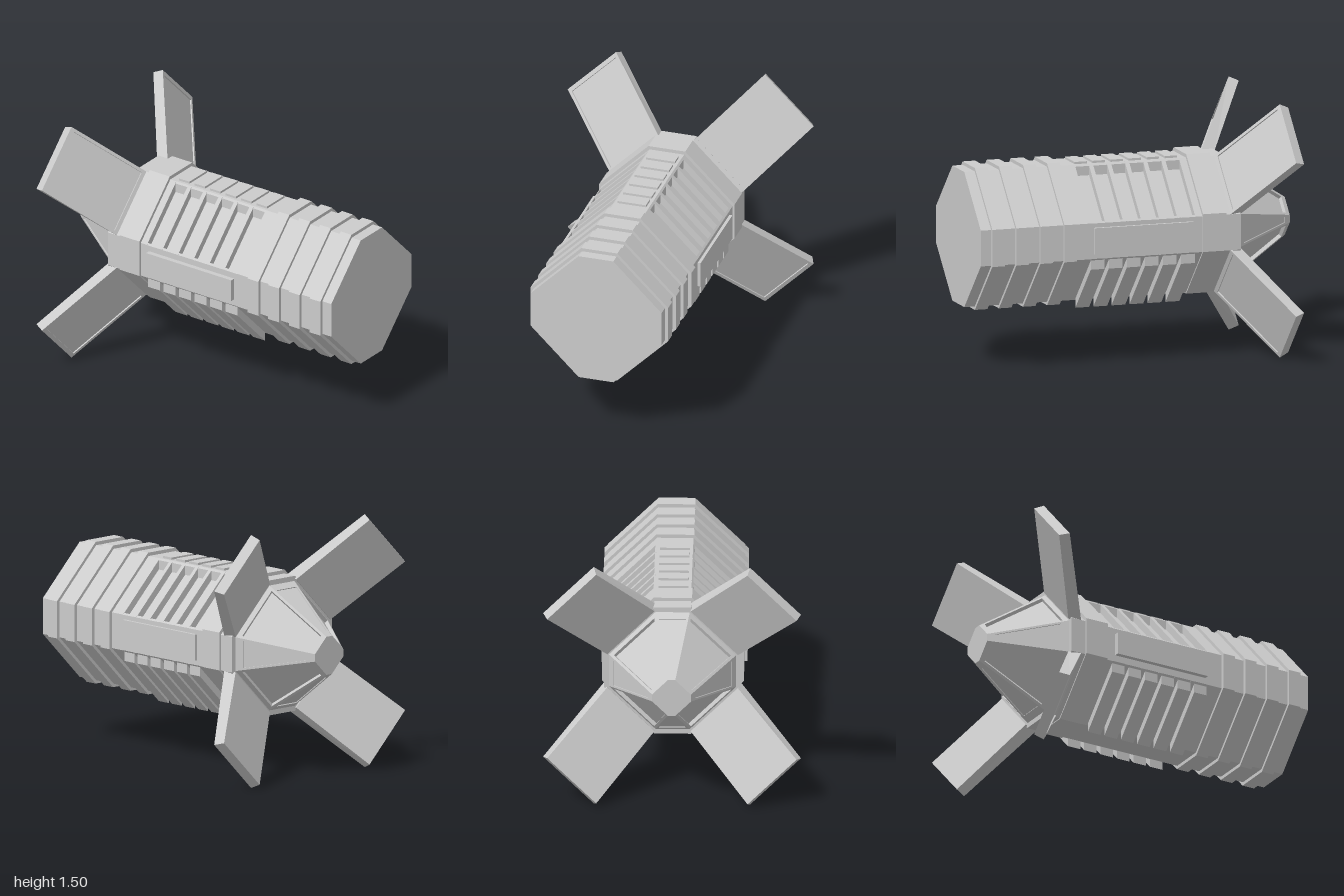
import * as THREE from 'three';

const material = new THREE.MeshStandardMaterial({ color: 0xcccccc, flatShading: true, side: THREE.DoubleSide });

// Octagon outline: h = half size, f = half width of the upright and level facets
const octagon = (h, f) => [[h, -f], [h, f], [f, h], [-f, h], [-h, f], [-h, -f], [-f, -h], [f, -h]];

function add(parent, geometry, name, x = 0, y = 0, z = 0) {
  const mesh = new THREE.Mesh(geometry, material);
  mesh.name = name;
  mesh.position.set(x, y, z);
  parent.add(mesh);
  return mesh;
}

// Prism along z from z0 to z1
function prism(points, z0, z1) {
  const shape = new THREE.Shape(points.map(([x, y]) => new THREE.Vector2(x, y)));
  return new THREE.ExtrudeGeometry(shape, { depth: z1 - z0, bevelEnabled: false }).translate(0, 0, z0);
}

function quad(out, a, b, c, d) {
  for (const p of [a, b, c, a, c, d]) out.push(p.x, p.y, p.z);
}

// Four-cornered facet with a sunken centre panel
function sunkenQuad(out, corners, inset, depth) {
  const centre = corners.reduce((s, p) => s.add(p), new THREE.Vector3()).multiplyScalar(0.25);
  const normal = corners[1].clone().sub(corners[0]).cross(corners[2].clone().sub(corners[0])).normalize();
  const rim = corners.map(p => p.clone().lerp(centre, inset));
  const floor = rim.map(p => p.clone().addScaledVector(normal, -depth));
  for (let i = 0; i < 4; i++) {
    const j = (i + 1) % 4;
    quad(out, corners[i], corners[j], rim[j], rim[i]);
    quad(out, rim[i], rim[j], floor[j], floor[i]);
  }
  quad(out, ...floor);
}

function toGeometry(out) {
  const geometry = new THREE.BufferGeometry();
  geometry.setAttribute('position', new THREE.Float32BufferAttribute(out, 3));
  geometry.computeVertexNormals();
  return geometry;
}

const v = (x, y, z) => new THREE.Vector3(x, y, z);

// Slanted fin growing out of a diagonal facet, upper +x quadrant
function finGeometry() {
  const front = [v(0.105, 0.4, -0.535), v(0.4, 0.105, -0.535), v(0.75, 0.455, -0.82), v(0.455, 0.75, -0.82)];
  const rear = [v(0.105, 0.38, -0.61), v(0.38, 0.105, -0.61), v(0.725, 0.44, -0.877), v(0.44, 0.725, -0.877)];
  const out = [];
  sunkenQuad(out, front, 0.09, 0.008);
  quad(out, rear[3], rear[2], rear[1], rear[0]);
  for (let i = 0; i < 4; i++) {
    const j = (i + 1) % 4;
    quad(out, front[j], front[i], rear[i], rear[j]);
  }
  return toGeometry(out);
}

// Tapered tail with a sunken panel in every facet
function tailGeometry() {
  const base = octagon(0.37, 0.1).map(([x, y]) => v(x, y, -0.6));
  const end = octagon(0.113, 0.022).map(([x, y]) => v(x, y, -1));
  const out = [];
  for (let i = 0; i < 8; i++) {
    const j = (i + 1) % 8;
    const diagonal = i % 2 === 1;
    sunkenQuad(out, [base[j], base[i], end[i], end[j]], diagonal ? 0.13 : 0.2, diagonal ? 0.022 : 0.006);
  }
  return toGeometry(out);
}

export function createModel() {
  const root = new THREE.Group();
  root.name = 'finnedCapsule';
  const body = new THREE.Group();
  body.name = 'body';
  body.position.y = 0.753;
  root.add(body);

  // Rib cross-section: slots in the upper diagonals, ridges on the lower ones
  const half = [[0.115, -0.39], [0.115, -0.445], [0.39, -0.17], [0.39, -0.115], [0.4, -0.105],
    [0.4, 0.105], [0.39, 0.115], [0.39, 0.06], [0.115, 0.335], [0.115, 0.39], [0.105, 0.4]];
  const ribSection = [[0.105, -0.4], ...half];
  const ribOutline = [...ribSection, ...ribSection.map(([x, y]) => [-x, y]).reverse()];
  const plain = octagon(0.4, 0.106);

  // Hull slices, alternating plain and ribbed
  let z = -0.6;
  for (let i = 0; i < 6; i++) {
    const start = -0.32 + i * 0.111;
    add(body, prism(plain, z, start), 'hullSection');
    z = start + 0.085;
    add(body, prism(ribOutline, start, z), 'ribSection');
    add(body, new THREE.BoxGeometry(0.175, 0.03, 0.075), 'topPad', 0, 0.398, start + 0.0425);
  }
  add(body, prism(plain, z, 1), 'hullFront');

  // Raised bands around the front, and the wider collar ahead of the fins
  for (let i = 0; i < 4; i++) {
    const start = 0.415 + i * 0.148;
    add(body, prism(octagon(0.42, 0.11), start, start + 0.077), 'frontBand');
  }
  add(body, prism(octagon(0.413, 0.112), -0.507, -0.363), 'rearCollar', 0, 0.008, 0);

  // Side panels
  add(body, new THREE.BoxGeometry(0.04, 0.155, 0.61), 'leftSidePanel', 0.398, 0.002, 0);
  add(body, new THREE.BoxGeometry(0.05, 0.135, 0.61), 'rightSidePanel', -0.405, 0.002, 0);

  // Tail and its end cap
  add(body, tailGeometry(), 'tail');
  add(body, prism(octagon(0.113, 0.022), -1, -0.992), 'tailCap');

  // Four fins
  const fin = finGeometry();
  for (let i = 0; i < 4; i++) add(body, fin, 'fin').rotation.z = i * Math.PI / 2;

  return root;
}
